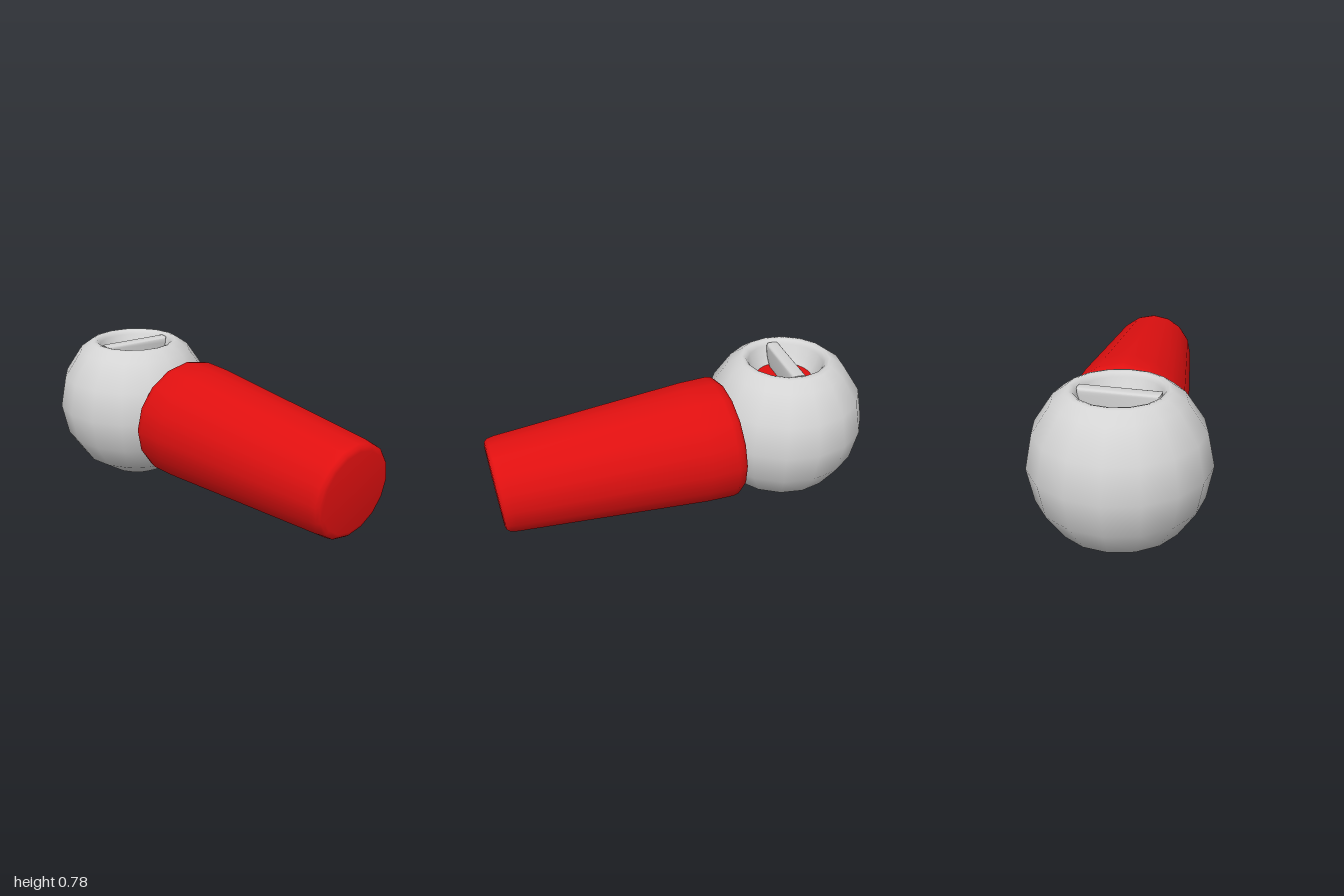
import * as THREE from 'three';
import { toCreasedNormals } from 'three/addons/utils/BufferGeometryUtils.js';

const SIDES = 16;

function lathe(points, crease) {
  const g = new THREE.LatheGeometry(points.map(([r, y]) => new THREE.Vector2(r, y)), SIDES);
  return toCreasedNormals(g, crease);
}

export function createModel() {
  const model = new THREE.Group();
  const grey = new THREE.MeshStandardMaterial({ color: 0xd4d4d4 });
  grey.name = 'light grey';
  const red = new THREE.MeshStandardMaterial({ color: 0xe01010 });
  red.name = 'red';

  const add = (name, geometry, material, parent = model) => {
    const mesh = new THREE.Mesh(geometry, material);
    mesh.name = name;
    parent.add(mesh);
    return mesh;
  };

  // Ball with a flat-topped socket, its outline a cut-off 16-gon
  const ball = new THREE.Group();
  ball.name = 'ballEnd';
  ball.position.set(-0.57, 0.43, 0);
  model.add(ball);
  const R = 0.428;
  const outline = [];
  for (let i = 0; i <= 6; i++) {
    const a = -Math.PI / 2 + (i * Math.PI) / 8;
    outline.push([Math.max(0, R * Math.cos(a)), R * Math.sin(a)]);
  }
  outline.push([0.243, 0.345], [0.225, 0.35], [0.208, 0.345], [0.195, 0.325], [0.175, 0.27], [0.145, 0.23], [0, 0.23]);
  add('ball', lathe(outline, 0.75), grey, ball);

  // Red floor of the socket
  const floor = add('socketFloor', new THREE.CylinderGeometry(0.145, 0.145, 0.008, 32), red, ball);
  floor.position.y = 0.232;

  // Half-round grip bar across the socket
  const half = new THREE.Shape();
  half.moveTo(-0.175, 0);
  half.lineTo(0.175, 0);
  half.absellipse(0, 0, 0.175, 0.12, 0, -Math.PI, true);
  const gripGeometry = toCreasedNormals(new THREE.ExtrudeGeometry(half, {
    depth: 0.036, bevelEnabled: true, bevelSize: 0.015, bevelThickness: 0.017, bevelSegments: 3, curveSegments: 12,
  }).translate(0, 0, -0.018), 0.7);
  const grip = add('gripBar', gripGeometry, grey, ball);
  grip.position.y = 0.326;
  grip.rotation.y = Math.PI / 2 - 0.08;

  // Tapered handle along x, with rounded rims and slightly slanted ends
  const profile = [
    [0, -0.22], [0.272, -0.22], [0.298, -0.212], [0.314, -0.193], [0.32, -0.16], [0.316, -0.02],
    [0.238, 0.93], [0.231, 0.965], [0.218, 0.98], [0.2, 0.984], [0, 0.984],
  ];
  const handleGeometry = lathe(profile, 0.75);
  handleGeometry.rotateZ(-Math.PI / 2);
  const slant = new THREE.Matrix4().set(
    1, 0.055, 0, 0,
    0, 1, 0, 0.415,
    -0.014, 0, 1, -0.063,
    0, 0, 0, 1,
  );
  handleGeometry.applyMatrix4(slant);
  add('handle', handleGeometry, red);

  return model;
}
